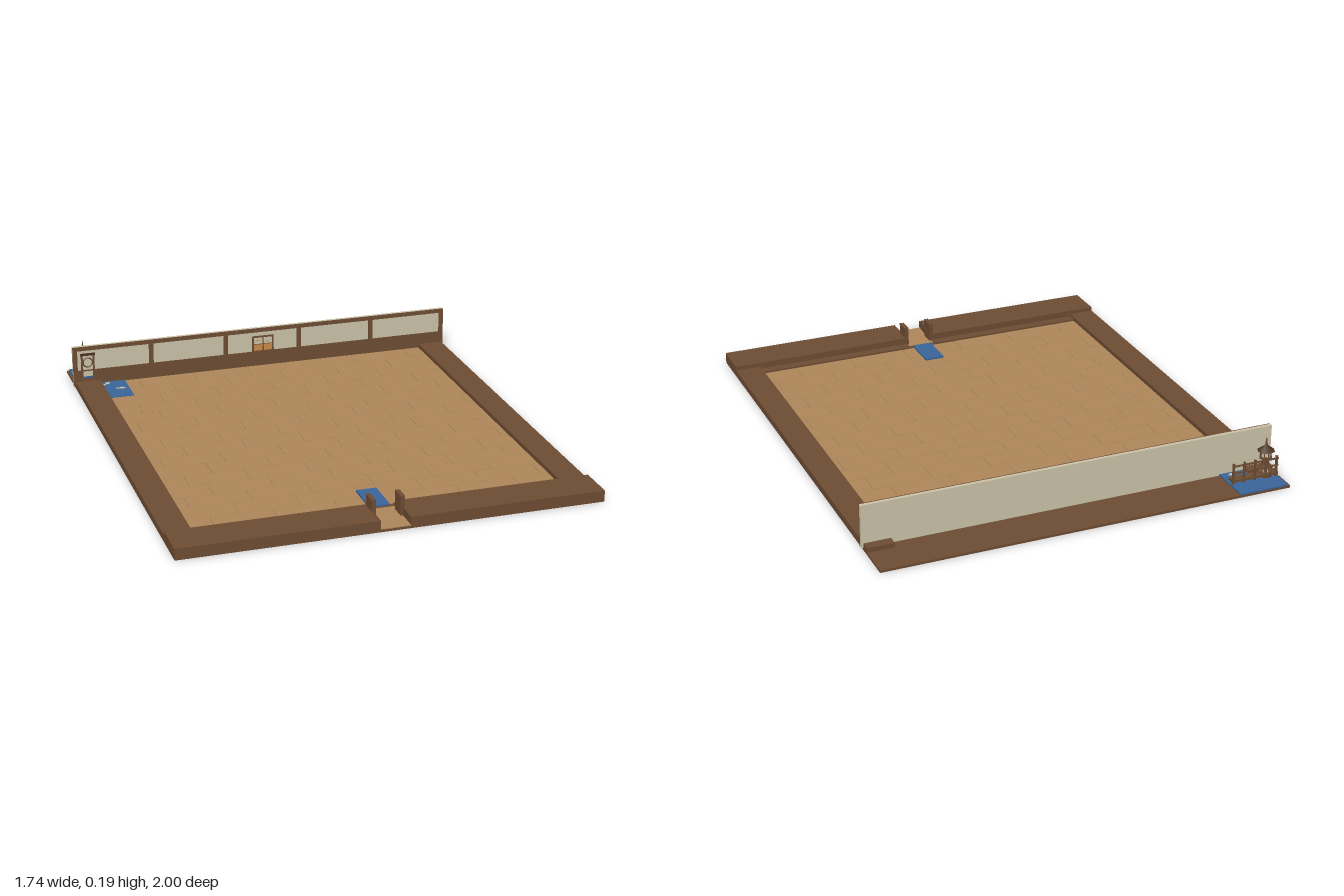
import * as THREE from 'three';

const mat = (name, color) => {
  const m = new THREE.MeshStandardMaterial({ color });
  m.name = name;
  return m;
};

export function createModel() {
  const root = new THREE.Group();
  root.name = 'courtyard';
  const brown = mat('brown wood', 0x6d4c33);
  const tan = mat('tan planks', 0xae875a);
  const cream = mat('cream plaster', 0xcbc2a8);
  const blue = mat('blue water', 0x3a6598);
  const orange = mat('orange paper', 0xc98a4a);
  const dark = mat('dark wood', 0x4a3322);

  const add = (name, geo, material, parent = root) => {
    const m = new THREE.Mesh(geo, material);
    m.name = name;
    parent.add(m);
    return m;
  };
  // Box given by its limits on each axis
  const box = (name, x0, x1, y0, y1, z0, z1, material, parent = root) => {
    const m = add(name, new THREE.BoxGeometry(x1 - x0, y1 - y0, z1 - z0), material, parent);
    m.position.set((x0 + x1) / 2, (y0 + y1) / 2, (z0 + z1) / 2);
    return m;
  };

  // Ground slab
  box('base', -0.86, 0.86, 0, 0.01, -1, 1, brown);

  // Plank floor, rows with staggered joints
  const floor = new THREE.Group();
  floor.name = 'floor';
  root.add(floor);
  const gap = 0.0008, len = 0.25;
  for (let r = 0; r < 16; r++) {
    const z = -0.8 + r * 0.1;
    const cuts = [-0.75];
    for (let x = -0.75 + [0.17, 0.05, 0.22, 0.1][r % 4]; x < 0.74; x += len) cuts.push(x);
    cuts.push(0.75);
    for (let i = 0; i < cuts.length - 1; i++) {
      box('plank', cuts[i] + gap, cuts[i + 1] - gap, 0.008, 0.013, z + gap, z + 0.1 - gap, tan, floor);
    }
  }

  // Side rails, front steps and gate posts, mirrored
  for (const s of [-1, 1]) {
    const side = (name, a, b, y0, y1, z0, z1, m) =>
      box(name, Math.min(s * a, s * b), Math.max(s * a, s * b), y0, y1, z0, z1, m);
    side('sideRail', 0.75, 0.86, 0.01, 0.03, -0.86, 0.84, brown);
    side('frontStep', 0.06, 0.86, 0.01, 0.047, 0.84, 1, brown);
    side('innerSill', 0.06, 0.75, 0.01, 0.02, 0.8, 0.84, brown);
    side('gatePost', 0.05, 0.068, 0.01, 0.094, 0.845, 0.91, brown);
  }
  box('gateSill', -0.06, 0.06, 0.01, 0.015, 0.8, 0.82, brown);
  box('gatePath', -0.06, 0.06, 0.01, 0.014, 0.82, 1, tan);
  box('entranceMat', -0.042, 0.042, 0.013, 0.021, 0.65, 0.81, blue);

  // Back wall: plaster slab with a timber frame on the front
  const wall = new THREE.Group();
  wall.name = 'backWall';
  root.add(wall);
  box('plaster', -0.868, 0.868, 0.01, 0.19, -0.82, -0.805, cream, wall);
  box('lowerBoard', -0.868, 0.868, 0.01, 0.08, -0.805, -0.8, brown, wall);
  box('topBeam', -0.868, 0.868, 0.172, 0.19, -0.805, -0.8, brown, wall);
  for (let i = 0; i < 6; i++) {
    const x = -0.858 + i * 0.3432;
    box('wallPost', x - 0.01, x + 0.01, 0.08, 0.172, -0.805, -0.8, brown, wall);
  }

  // Small cupboard picture with four panes, at the middle of the wall
  const picture = new THREE.Group();
  picture.name = 'wallPicture';
  root.add(picture);
  box('pictureFrame', -0.05, 0.05, 0.083, 0.155, -0.8, -0.793, brown, picture);
  for (const x of [-0.023, 0.022]) {
    for (const y of [0.102, 0.134]) {
      box('pane', x - 0.019, x + 0.019, y - 0.014, y + 0.014, -0.793, -0.79, y > 0.12 ? cream : orange, picture);
    }
  }
  box('paneMark', -0.034, -0.018, 0.135, 0.139, -0.79, -0.788, orange, picture);
  box('paneMark', 0.012, 0.026, 0.128, 0.132, -0.79, -0.788, orange, picture);

  // Framed panel with a pale disc, at the corner of the wall
  const panel = new THREE.Group();
  panel.name = 'cornerPanel';
  root.add(panel);
  box('panelBack', -0.83, -0.776, 0.045, 0.158, -0.8, -0.797, cream, panel);
  box('panelTop', -0.836, -0.77, 0.15, 0.16, -0.8, -0.794, dark, panel);
  for (const x of [-0.829, -0.777]) box('panelSide', x - 0.004, x + 0.004, 0.045, 0.15, -0.8, -0.794, brown, panel);
  box('panelBar', -0.829, -0.777, 0.078, 0.084, -0.8, -0.795, brown, panel);
  box('panelWater', -0.825, -0.781, 0.045, 0.053, -0.797, -0.795, blue, panel);
  const rim = add('discRim', new THREE.TorusGeometry(0.021, 0.003, 6, 24), brown, panel);
  rim.position.set(-0.803, 0.118, -0.796);

  // Pond running under the wall, with pale fish
  box('pond', -0.85, -0.64, 0.01, 0.016, -1, -0.61, blue);
  const fishShape = new THREE.Shape([
    [-0.024, -0.008], [-0.014, -0.002], [0.004, -0.01], [0.022, 0], [0.004, 0.01], [-0.014, 0.003], [-0.022, 0.009],
  ].map(([x, y]) => new THREE.Vector2(x, y)));
  const fishGeo = new THREE.ExtrudeGeometry(fishShape, { depth: 0.002, bevelEnabled: false }).rotateX(-Math.PI / 2);
  for (const [x, z, a] of [[-0.69, -0.84, 0.1], [-0.725, -0.775, 0.7], [-0.675, -0.705, 0]]) {
    const fish = add('fish', fishGeo, cream);
    fish.position.set(x, 0.016, z);
    fish.rotation.y = a;
  }

  // Footbridge with a railing behind the wall
  const bridge = new THREE.Group();
  bridge.name = 'footbridge';
  root.add(bridge);
  box('deck', -0.85, -0.645, 0.024, 0.034, -0.92, -0.885, brown, bridge);
  for (let i = 0; i < 5; i++) {
    const x = -0.842 + i * 0.048;
    box('railPost', x - 0.004, x + 0.004, 0.01, 0.105, -0.919, -0.911, brown, bridge);
  }
  for (const y of [0.06, 0.09]) box('handrail', -0.85, -0.645, y, y + 0.006, -0.918, -0.912, brown, bridge);

  // Garden lantern turned from one profile, with roof ribs
  const lantern = new THREE.Group();
  lantern.name = 'lantern';
  lantern.position.set(-0.805, 0, -0.892);
  root.add(lantern);
  const profile = [
    [0, 0.016], [0.031, 0.016], [0.031, 0.04], [0.022, 0.05], [0.014, 0.07], [0.014, 0.085], [0.026, 0.092], [0.026, 0.1], [0, 0.1],
  ].map(([x, y]) => new THREE.Vector2(x, y));
  const foot = new THREE.LatheGeometry(profile, 8).toNonIndexed();
  foot.computeVertexNormals();
  add('lanternFoot', foot, brown, lantern);
  add('lanternLight', new THREE.CylinderGeometry(0.018, 0.018, 0.03, 8), cream, lantern).position.y = 0.113;
  add('lanternRoof', new THREE.ConeGeometry(0.036, 0.028, 8), dark, lantern).position.y = 0.139;
  add('lanternSpire', new THREE.ConeGeometry(0.007, 0.045, 8), brown, lantern).position.y = 0.166;
  for (let i = 0; i < 8; i++) {
    const a = (i / 8) * Math.PI * 2;
    const post = add('lanternPost', new THREE.CylinderGeometry(0.002, 0.002, 0.03, 6), brown, lantern);
    post.position.set(Math.cos(a) * 0.021, 0.113, Math.sin(a) * 0.021);
  }
  return root;
}
